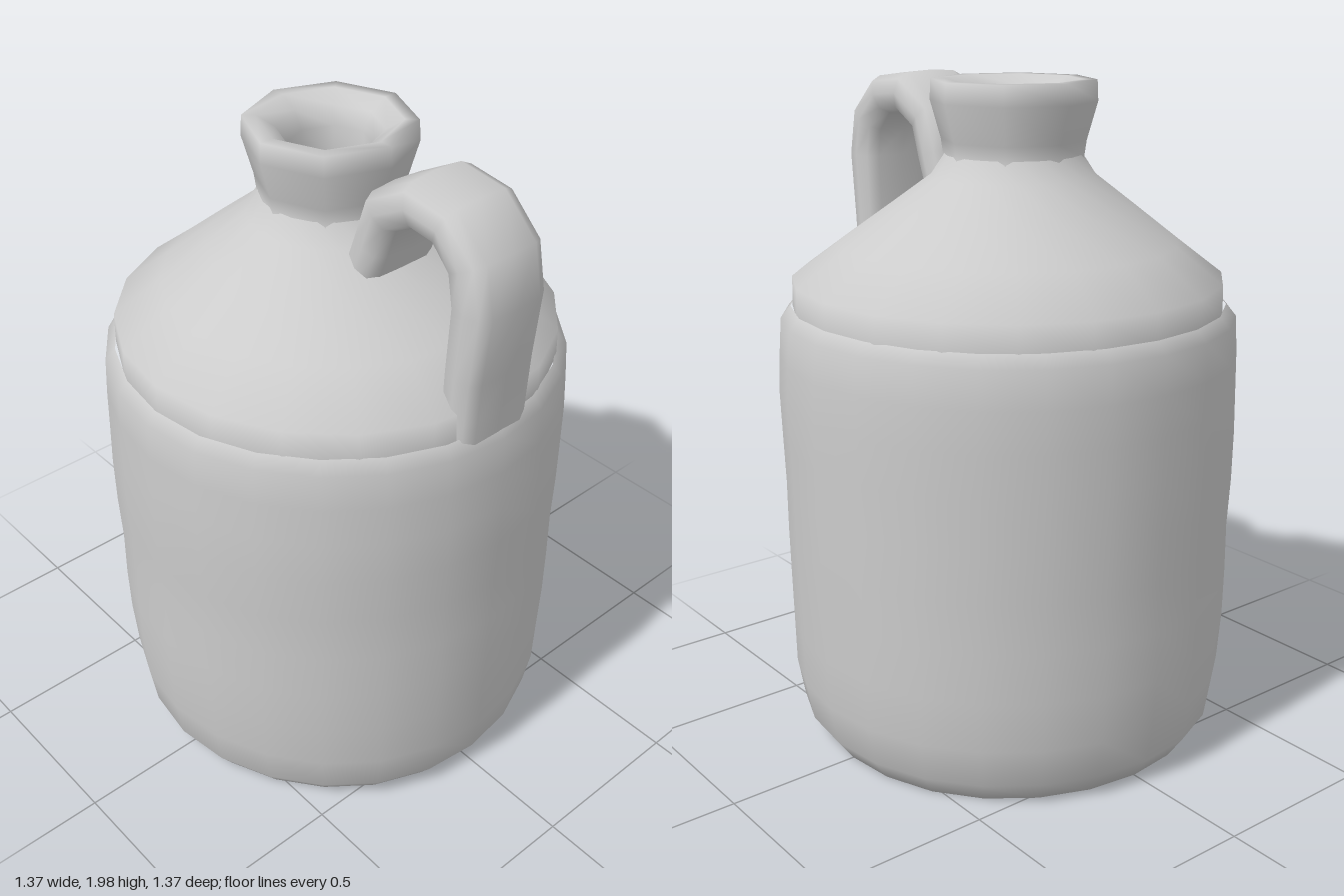
import * as THREE from 'three';
import { mergeVertices } from 'three/addons/utils/BufferGeometryUtils.js';

const material = new THREE.MeshStandardMaterial({ color: 0xcccccc });
const v2 = ([x, y]) => new THREE.Vector2(x, y);

// Turned form whose vertices are moved by a rule, welded for smooth shading
function turned(name, profile, sides, move) {
  let geo = new THREE.LatheGeometry(profile.map(v2), sides);
  geo.deleteAttribute('normal');
  geo.deleteAttribute('uv');
  const pos = geo.attributes.position;
  const p = new THREE.Vector3();
  for (let i = 0; i < pos.count; i++) {
    p.fromBufferAttribute(pos, i);
    move(p);
    pos.setXYZ(i, p.x, p.y, p.z);
  }
  geo = mergeVertices(geo, 1e-4);
  geo.computeVertexNormals();
  const mesh = new THREE.Mesh(geo, material);
  mesh.name = name;
  return mesh;
}

// Flat strap swept along a path in the xy plane; each station is [x, y, half thickness]
function strap(name, stations, halfWidth, zCentre) {
  const sides = 12;
  const positions = [];
  const index = [];
  const round = (v) => Math.sign(v) * Math.pow(Math.abs(v), 0.6);
  stations.forEach(([x, y, half], i) => {
    const a = stations[Math.max(i - 1, 0)];
    const b = stations[Math.min(i + 1, stations.length - 1)];
    const t = new THREE.Vector2(b[0] - a[0], b[1] - a[1]).normalize();
    for (let j = 0; j < sides; j++) {
      const angle = (j / sides) * Math.PI * 2;
      const n = half * round(Math.cos(angle));
      positions.push(x - t.y * n, y + t.x * n, zCentre + halfWidth * round(Math.sin(angle)));
      if (i < stations.length - 1) {
        const k = (j + 1) % sides;
        const p = i * sides;
        const q = p + sides;
        index.push(p + j, p + k, q + k, p + j, q + k, q + j);
      }
    }
  });
  const geo = new THREE.BufferGeometry();
  geo.setAttribute('position', new THREE.Float32BufferAttribute(positions, 3));
  geo.setIndex(index);
  geo.computeVertexNormals();
  const mesh = new THREE.Mesh(geo, material);
  mesh.name = name;
  return mesh;
}

export function createModel() {
  const jug = new THREE.Group();
  jug.name = 'jug';

  // Barrel: slightly uneven hand-made wall with a ledge under the shoulder
  const barrel = [
    [0, 0.01], [0.4, 0.01], [0.6, 0.01], [0.65, 0.08], [0.67, 0.2], [0.677, 0.35], [0.68, 0.5],
    [0.68, 0.65], [0.683, 0.8], [0.686, 0.95], [0.686, 1.08], [0.682, 1.2], [0.675, 1.31], [0.645, 1.345],
  ];
  jug.add(turned('barrel', barrel, 24, (p) => {
    const a = Math.atan2(p.z, p.x);
    const wall = Math.hypot(p.x, p.z) > 0.5 ? 1 : 0;
    const bump = 1 + wall * 0.006 * Math.sin(3 * a + 5 * p.y) * Math.cos(2 * a - 9 * p.y);
    p.x *= bump;
    p.z *= bump;
  }));

  // Shoulder: cone leaning a little toward the off-centre neck
  const shoulder = [[0.642, 1.33], [0.64, 1.42], [0.5, 1.525], [0.36, 1.63], [0.24, 1.72], [0.2, 1.78]];
  jug.add(turned('shoulder', shoulder, 20, (p) => {
    p.x -= 0.025 * THREE.MathUtils.smoothstep(p.y, 1.42, 1.75);
  }));

  // Neck: flared eight-sided collar with a rounded lip and a well inside
  const neck = [
    [0.23, 1.71], [0.205, 1.77], [0.212, 1.82], [0.243, 1.93], [0.24, 1.99],
    [0.2, 1.99], [0.15, 1.96], [0.122, 1.91], [0.125, 1.82], [0.12, 1.74], [0, 1.73],
  ];
  jug.add(turned('neck', neck, 8, (p) => { p.x -= 0.025; }));

  // Handle: wide strap from the neck base over to the edge of the shoulder
  const handle = [
    [0.2, 1.62, 0.06], [0.25, 1.755, 0.062], [0.287, 1.865, 0.066], [0.40, 1.928, 0.066],
    [0.515, 1.915, 0.066], [0.598, 1.835, 0.07], [0.62, 1.72, 0.07], [0.605, 1.52, 0.064],
    [0.6, 1.4, 0.062], [0.595, 1.28, 0.062],
  ];
  jug.add(strap('handle', handle, 0.13, 0.005));

  return jug;
}
